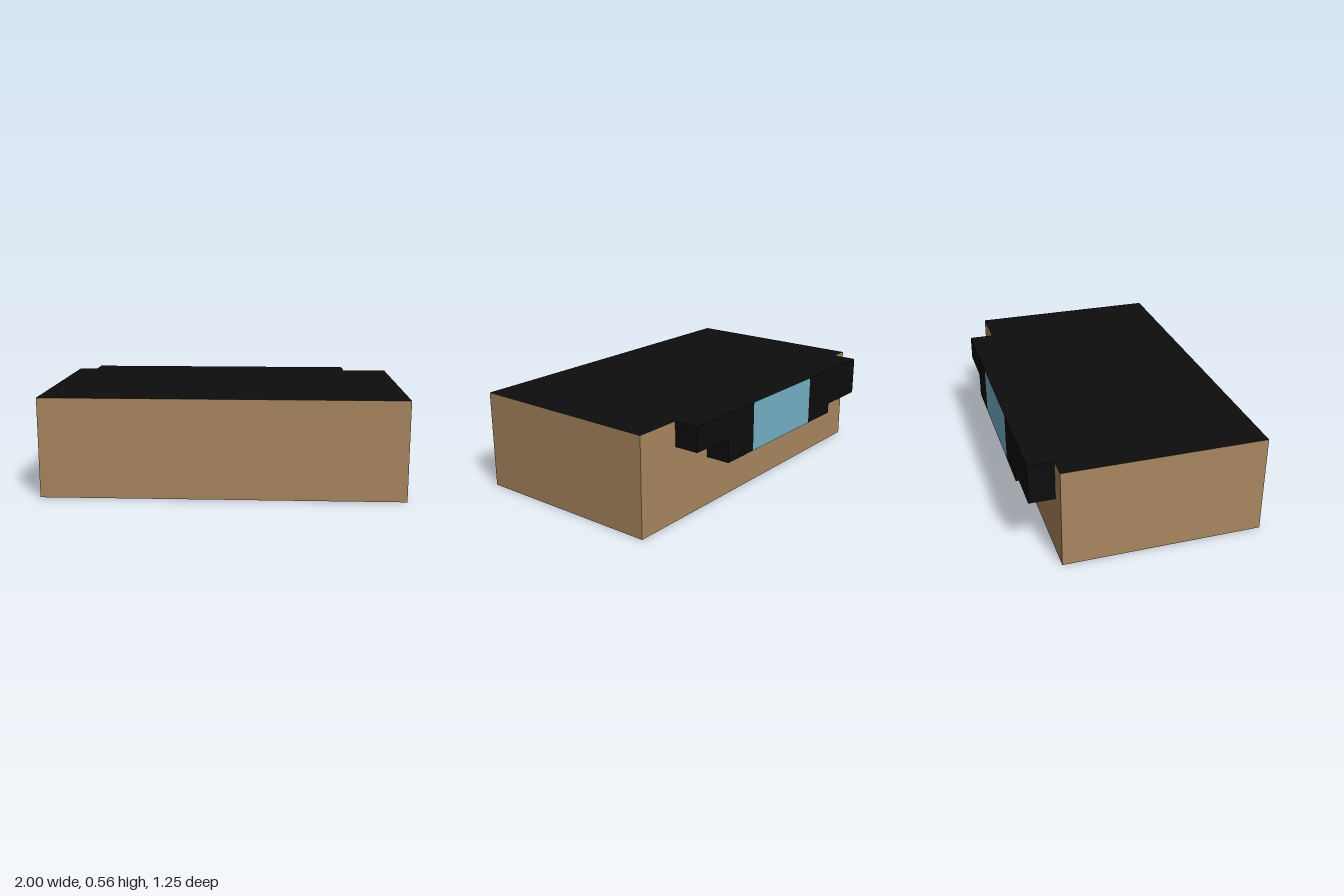
import * as THREE from 'three';

const paint = (color) => new THREE.MeshStandardMaterial({ color });

export function createModel() {
  const model = new THREE.Group();
  const tan = paint(0xa8865f);
  const black = paint(0x0d0d0d);
  const red = paint(0x600808);
  const blue = paint(0x73b0c6);

  const top = 0.555;
  const backWall = -0.485;
  const backEnd = -0.625;

  // Box between two x, y and z limits; faces are +x, -x, top, bottom, front, back
  function block(name, [x0, x1], [y0, y1], [z0, z1], faces) {
    const geometry = new THREE.BoxGeometry(x1 - x0, y1 - y0, z1 - z0);
    const mesh = new THREE.Mesh(geometry, faces);
    mesh.position.set((x0 + x1) / 2, (y0 + y1) / 2, (z0 + z1) / 2);
    mesh.name = name;
    model.add(mesh);
  }

  // Main body: tan walls, black roof, dark red underside
  block('body', [-1, 1], [0, top], [backWall, 0.625], [tan, tan, black, red, tan, tan]);

  // Rear bay: stepped row of blocks hanging from roof level
  const bay = [
    ['bayEndLeft', 0.466, 0.734, 0.138, black, black],
    ['bayPanelLeft', 0.236, 0.466, 0.277, red, black],
    ['window', -0.346, 0.236, 0.277, red, blue],
    ['bayPanelRight', -0.584, -0.346, 0.277, red, black],
    ['bayEndRight', -0.89, -0.584, 0.219, black, black],
  ];
  for (const [name, x0, x1, height, under, back] of bay) {
    block(name, [x0, x1], [top - height, top], [backEnd, backWall],
      [black, black, black, under, black, back]);
  }

  return model;
}
